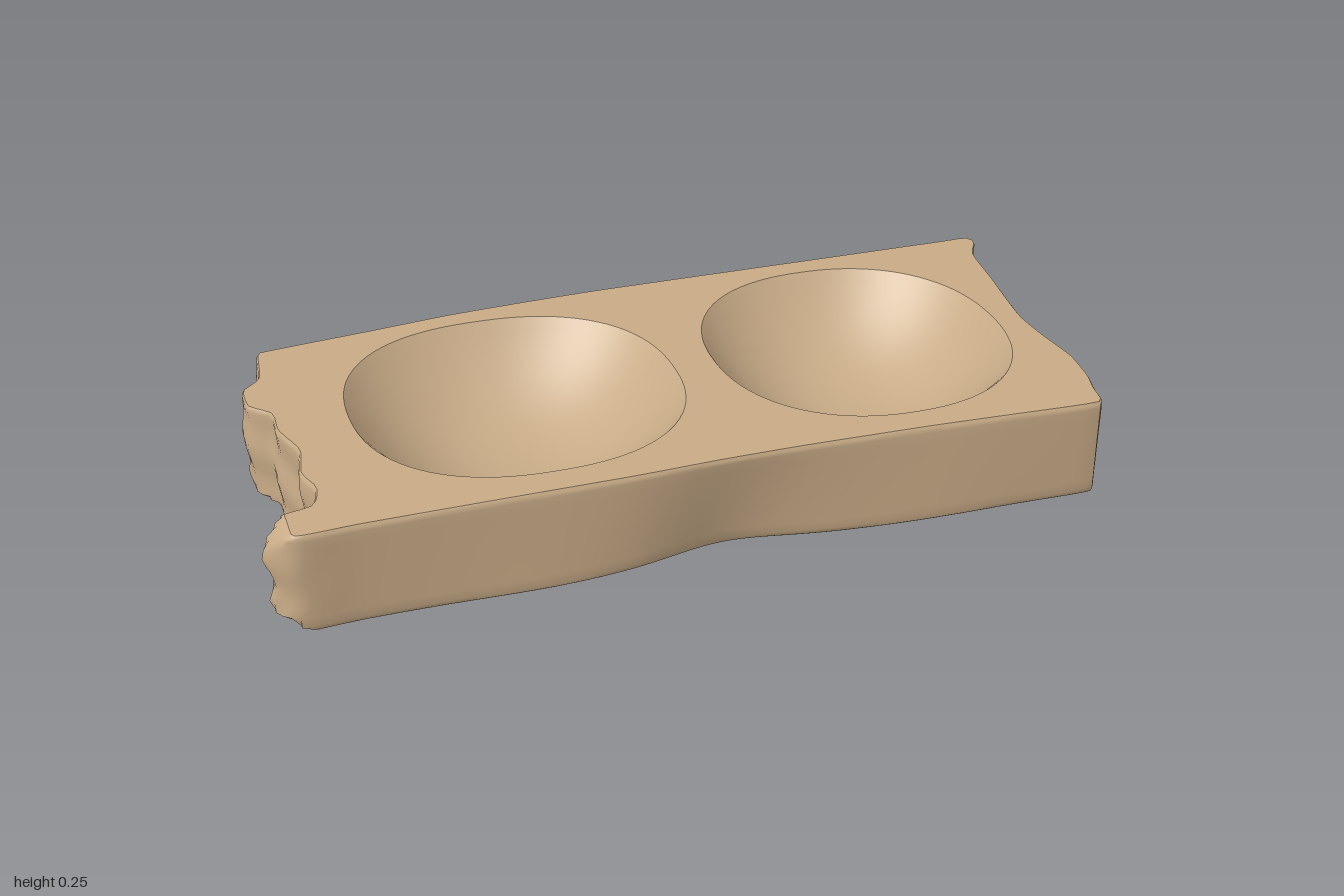
import * as THREE from 'three';
import { toCreasedNormals } from 'three/addons/utils/BufferGeometryUtils.js';

const TOP = 0.255;
const N = 260;
const { lerp, smoothstep } = THREE.MathUtils;

// Plan of the slab as [x, z], starting at the back left corner
const EDGE = [
  [-0.885, -0.372], [-0.865, -0.39], [-0.6, -0.42], [-0.4, -0.444], [-0.2, -0.456], [0, -0.463], [0.5, -0.463], [0.9, -0.463],
  [0.985, -0.463], [1, -0.43], [0.965, -0.36], [0.95, -0.22], [0.935, -0.1], [0.925, 0], [0.932, 0.1], [0.948, 0.22],
  [0.94, 0.32], [0.925, 0.38], [0.912, 0.445], [0.85, 0.45], [0.7, 0.443], [0.5, 0.434], [0.2, 0.428], [0, 0.43],
  [-0.2, 0.438], [-0.5, 0.442], [-0.8, 0.447], [-0.94, 0.453], [-1, 0.395], [-0.965, 0.355], [-0.885, 0.335],
  [-0.865, 0.27], [-0.885, 0.2], [-0.87, 0.1], [-0.9, 0], [-0.9, -0.08], [-0.945, -0.13], [-0.945, -0.21], [-0.9, -0.26],
];

// Furthest reach of the broken left end, from base to top
const REACH = [0.87, 0.93, 0.985, 1, 0.99, 0.985, 0.995, 1, 0.995, 0.98, 0.945];

// Hollows: centre, half widths and squareness of the rim
const BOWLS = [
  { name: 'leftHollow', x: -0.35, z: -0.012, a: 0.385, b: 0.372, square: 0.32 },
  { name: 'rightHollow', x: 0.495, z: -0.02, a: 0.36, b: 0.378, square: 0.22 },
];
const DEPTH = 0.2;

// Joins closed rings of points into one surface
function skin(rings, flip) {
  const n = rings[0].length, index = [];
  for (let j = 0; j < rings.length - 1; j++) {
    for (let i = 0; i < n; i++) {
      const a = j * n + i, b = j * n + (i + 1) % n, c = a + n, d = b + n;
      if (flip) index.push(a, b, c, b, d, c);
      else index.push(a, c, b, b, c, d);
    }
  }
  const g = new THREE.BufferGeometry();
  g.setAttribute('position', new THREE.Float32BufferAttribute(rings.flat(2), 3));
  g.setIndex(index);
  g.computeVertexNormals();
  return g;
}

// Softly squared ring of a hollow at relative radius r
function bowlRing(bowl, r, count = 96) {
  const power = 2 + bowl.square * r;
  const y = TOP - DEPTH * (1 - Math.pow(r, 2.4));
  return Array.from({ length: count }, (_, i) => {
    const t = i / count * Math.PI * 2, c = Math.cos(t), s = Math.sin(t);
    const k = r / Math.pow(Math.abs(c) ** power + Math.abs(s) ** power, 1 / power);
    return [bowl.x + bowl.a * k * c, y, bowl.z + bowl.b * k * s];
  });
}

// One horizontal ring of the weathered side wall
function wallRing(edge, y, inset) {
  const h = y / TOP, belly = Math.sin(Math.PI * h);
  const step = Math.min(9, Math.floor(h * 10));
  const reach = lerp(REACH[step], REACH[step + 1], h * 10 - step);
  return edge.map((p, i) => {
    const q = edge[(i + 1) % N], o = edge[(i + N - 1) % N];
    const tx = q.x - o.x, tz = q.z - o.z, len = Math.hypot(tx, tz) || 1;
    let x = p.x - tz / len * inset, z = p.z + tx / len * inset;
    // broken left end, undercut at the base and rounded at the top
    const end = smoothstep(-p.x, 0.83, 0.88);
    x = Math.max(x, -reach) + end * belly * 0.006 * Math.sin(y * 40 + p.z * 9);
    // right end: straight along the base, flaring to the chipped top edge
    const base = 0.93 - 0.035 * p.z;
    if (p.x > base || (p.x > 0.9 && Math.abs(p.z) < 0.44)) x = lerp(base, x, h * h);
    // front face: worn hollow in the middle of the base, fuller on both sides
    if (p.z > 0.4) {
      z -= 0.04 * (1 - h) * Math.exp(-(((p.x - 0.02) / 0.17) ** 2));
      z += 0.012 * (1 - h) * (Math.exp(-(((p.x - 0.5) / 0.2) ** 2)) + Math.exp(-(((p.x + 0.4) / 0.2) ** 2)));
    }
    return [x, y, z];
  });
}

export function createModel() {
  const group = new THREE.Group();
  group.name = 'twoHollowWoodenTray';
  const wood = new THREE.MeshStandardMaterial({ color: 0xc8ab87 });
  wood.name = 'pale wood';
  const add = (name, geometry) => {
    const mesh = new THREE.Mesh(geometry, wood);
    mesh.name = name;
    group.add(mesh);
  };

  const points = EDGE.map(([x, z]) => new THREE.Vector3(x, 0, z));
  const edge = new THREE.CatmullRomCurve3(points, true, 'catmullrom', 0.3).getSpacedPoints(N).slice(0, N);

  // Side walls with softened rims, closed by a slightly bulging underside
  const levels = [[0.014, 0.01], [0.019, 0.003], [0.03, 0]];
  for (let k = 1; k <= 10; k++) levels.push([0.03 + k * 0.021, 0]);
  levels.push([0.25, 0.001], [TOP, 0.005]);
  const walls = levels.map(([y, inset]) => wallRing(edge, y, inset));
  const under = [[0, 0], [0.45, 0.001], [0.75, 0.006]].map(([s, y]) =>
    walls[0].map(p => [-0.35 + (p[0] + 0.35) * s, y, p[2] * s]));
  add('sidesAndUnderside', toCreasedNormals(skin([...under, ...walls], false), 0.7));

  // Flat top face with the two openings
  const flat = ring => ring.map(p => new THREE.Vector2(p[0], -p[2]));
  const face = new THREE.Shape(flat(walls[walls.length - 1]));
  BOWLS.forEach(b => face.holes.push(new THREE.Path(flat(bowlRing(b, 1)))));
  add('topFace', new THREE.ShapeGeometry(face).rotateX(-Math.PI / 2).translate(0, TOP, 0));

  // Carved hollows
  for (const b of BOWLS) {
    add(b.name, skin(Array.from({ length: 21 }, (_, k) => bowlRing(b, k / 20)), true));
  }
  return group;
}
